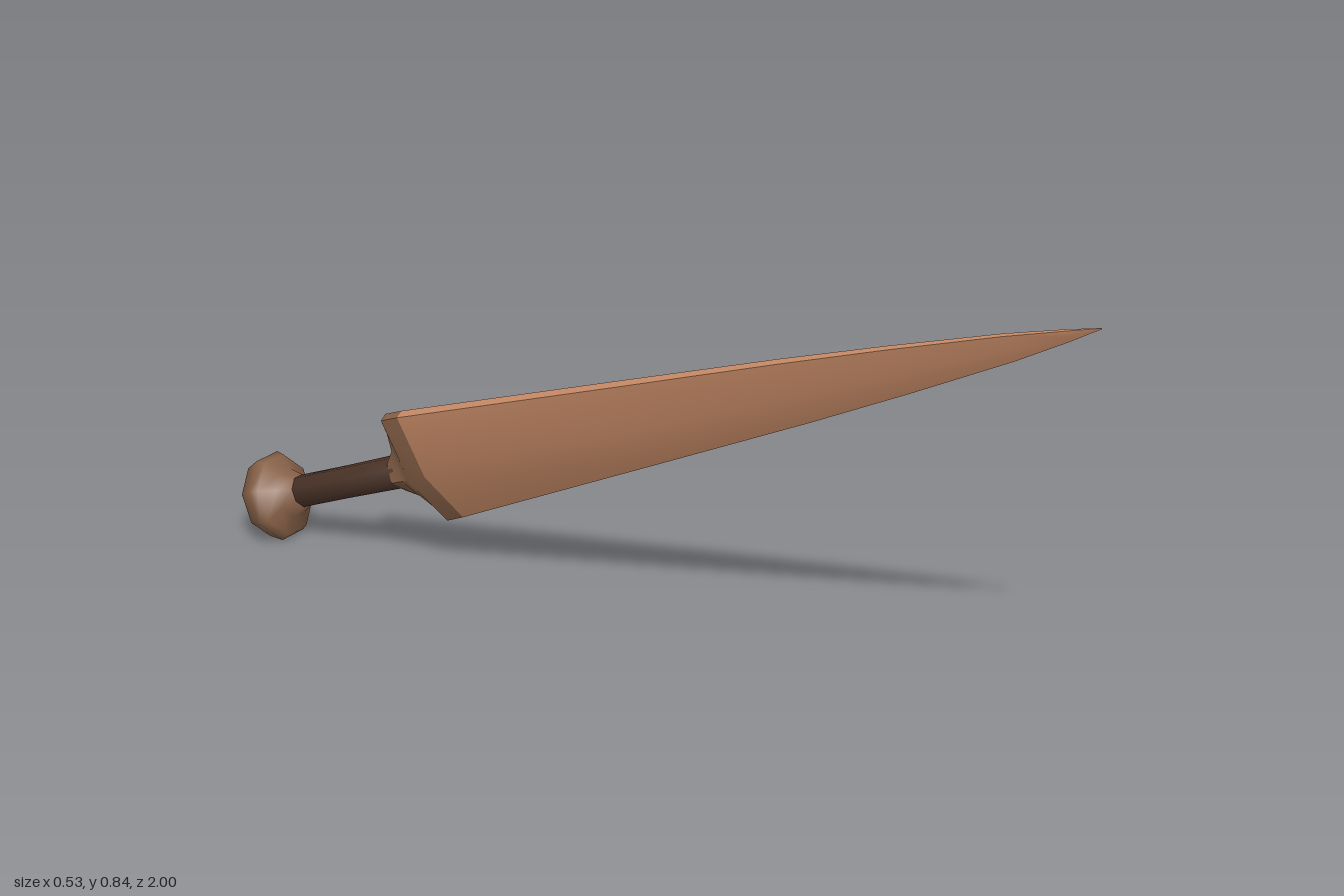
import * as THREE from 'three';
import { toCreasedNormals } from 'three/addons/utils/BufferGeometryUtils.js';

// Lofts six-sided sections [height, half width, half thickness at ridge, half thickness at edge]
function loft(sections) {
  const pos = [], idx = [], n = 6, last = (sections.length - 1) * n;
  for (const [y, a, h, t] of sections) {
    const ring = [[0, h], [a, t], [a, -t], [0, -h], [-a, -t], [-a, t]];
    for (const [x, z] of ring) pos.push(x, y, z);
  }
  for (let k = 0; k < last; k += n) {
    for (let i = 0; i < n; i++) {
      const j = (i + 1) % n;
      idx.push(k + i, k + j, k + n + j, k + i, k + n + j, k + n + i);
    }
  }
  for (let i = 1; i < n - 1; i++) {
    idx.push(0, i + 1, i, last, last + i, last + i + 1);
  }
  const g = new THREE.BufferGeometry();
  g.setAttribute('position', new THREE.Float32BufferAttribute(pos, 3));
  g.setIndex(idx);
  return toCreasedNormals(g, 0.6);
}

// Octagonal turned part from [radius, height] points
function turned(points) {
  return new THREE.LatheGeometry(points.map(([r, y]) => new THREE.Vector2(r, y)), 8);
}

function material(name, color) {
  const m = new THREE.MeshStandardMaterial({ color });
  m.name = name;
  return m;
}

export function createModel() {
  const copper = material('copper', 0xc68a66);
  const bronze = material('bronze', 0x866047);
  const leather = material('darkLeather', 0x4a3328);

  const dagger = new THREE.Group();
  dagger.name = 'dagger';
  const add = (name, geometry, mat) => {
    const mesh = new THREE.Mesh(geometry, mat);
    mesh.name = name;
    dagger.add(mesh);
  };

  // Leaf-shaped blade with a soft central ridge and narrow flat edges
  add('blade', loft([
    [0.045, 0.144, 0.043, 0.012],
    [0.6, 0.105, 0.029, 0.011],
    [1.0, 0.077, 0.02, 0.009],
    [1.25, 0.056, 0.014, 0.007],
    [1.5, 0.031, 0.008, 0.005],
    [1.63, 0.013, 0.004, 0.003],
    [1.703, 0.001, 0.001, 0.0005],
  ]), copper);

  // Guard flaring from the grip to the blade shoulders
  add('guard', loft([
    [-0.05, 0.038, 0.042, 0.02],
    [-0.02, 0.065, 0.043, 0.017],
    [-0.005, 0.11, 0.043, 0.014],
    [0, 0.145, 0.043, 0.012],
    [0.045, 0.144, 0.043, 0.012],
  ]), bronze);

  add('grip', turned([[0, -0.36], [0.037, -0.36], [0.037, -0.2], [0.039, -0.03], [0, -0.03]]), leather);

  // Mushroom pommel
  add('pommel', turned([
    [0, -0.484], [0.05, -0.472], [0.088, -0.44], [0.102, -0.405],
    [0.092, -0.388], [0.055, -0.366], [0.038, -0.335], [0, -0.335],
  ]), bronze);

  // Lean the dagger: local y runs to the tip, local x across the blade
  const along = new THREE.Vector3(0.205, 0.356, 0.912).normalize();
  const across = new THREE.Vector3(-0.43, 0.876, -0.223);
  across.addScaledVector(along, -across.dot(along)).normalize();
  const normal = new THREE.Vector3().crossVectors(across, along);
  dagger.quaternion.setFromRotationMatrix(new THREE.Matrix4().makeBasis(across, along, normal));
  dagger.position.set(-0.088, 0.243, -0.553);

  const model = new THREE.Group();
  model.name = 'leaningDagger';
  model.add(dagger);
  return model;
}
